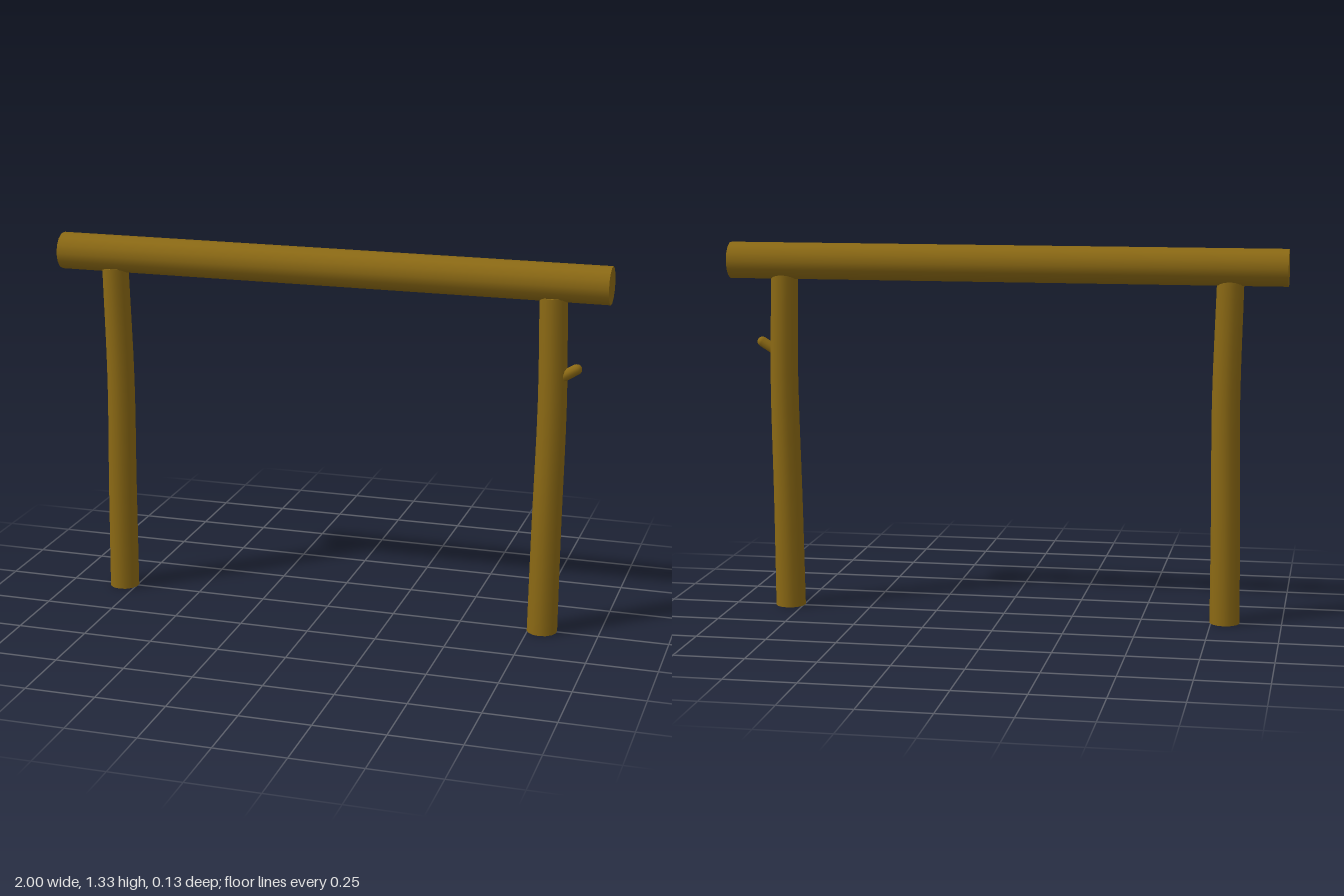
import * as THREE from 'three';

const wood = new THREE.MeshStandardMaterial({ color: 0x8b6914 });

function add(parent, name, geometry) {
  const mesh = new THREE.Mesh(geometry, wood);
  mesh.name = name;
  parent.add(mesh);
  return mesh;
}

// Slightly tapered log whose axis follows a gentle curve through [x, y, z] points
function bentPost(points, rBottom, rTop) {
  const curve = new THREE.CatmullRomCurve3(points.map(p => new THREE.Vector3(...p)));
  const geo = new THREE.CylinderGeometry(rTop, rBottom, 1, 14, 12);
  const pos = geo.attributes.position;
  for (let i = 0; i < pos.count; i++) {
    const c = curve.getPoint(THREE.MathUtils.clamp(pos.getY(i) + 0.5, 0, 1));
    pos.setXYZ(i, pos.getX(i) + c.x, c.y, pos.getZ(i) + c.z);
  }
  return geo;
}

export function createModel() {
  const group = new THREE.Group();
  group.name = 'logFrame';

  // Horizontal log resting on the posts
  const beam = add(group, 'beam', new THREE.CylinderGeometry(0.066, 0.066, 2, 14));
  beam.rotation.z = Math.PI / 2;
  beam.position.set(0, 1.27, -0.001);

  // Two upright logs, each slightly crooked
  add(group, 'rightPost', bentPost(
    [[-0.798, 0, 0.003], [-0.795, 0.4, 0.003], [-0.79, 0.8, 0.003], [-0.799, 1.22, 0.003]], 0.054, 0.048));
  add(group, 'leftPost', bentPost(
    [[0.799, 0, 0.003], [0.803, 0.4, 0.003], [0.81, 0.85, 0.003], [0.803, 1.22, 0.003]], 0.054, 0.048));

  // Short round-ended branch stub on the left post
  const from = new THREE.Vector3(0.825, 0.932, 0.012);
  const to = new THREE.Vector3(0.892, 0.973, 0.012);
  const stub = add(group, 'branchStub', new THREE.CapsuleGeometry(0.019, from.distanceTo(to), 4, 10));
  stub.position.copy(from).lerp(to, 0.5);
  stub.quaternion.setFromUnitVectors(new THREE.Vector3(0, 1, 0), to.clone().sub(from).normalize());

  return group;
}
